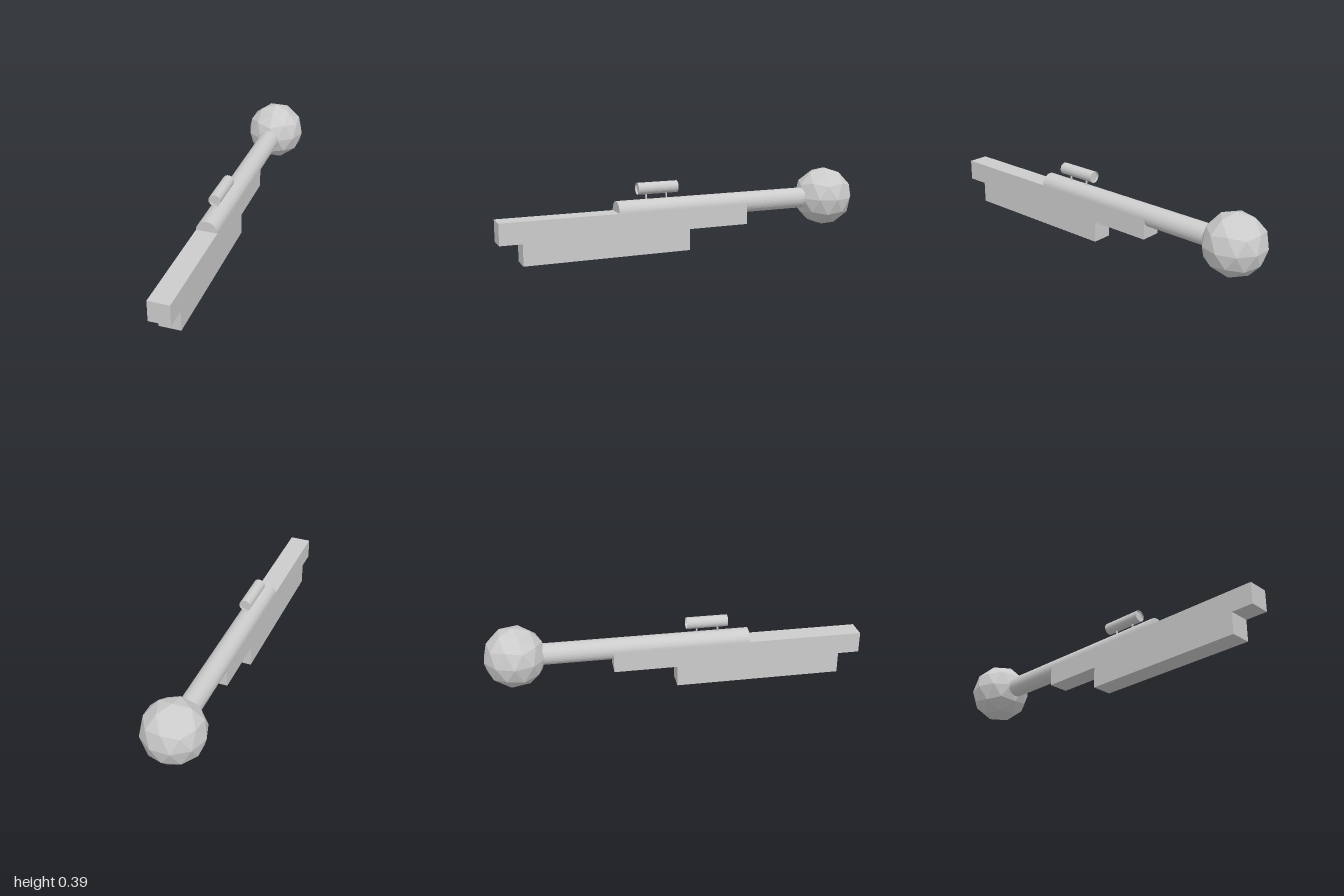
import * as THREE from 'three';

const material = new THREE.MeshStandardMaterial({ color: 0xcccccc, flatShading: true });

export function createModel() {
  const model = new THREE.Group();
  const add = (name, geometry, x, y, z) => {
    const mesh = new THREE.Mesh(geometry, material);
    mesh.name = name;
    mesh.position.set(x, y, z);
    model.add(mesh);
    return mesh;
  };

  // Stepped body: side profile (z, y) extruded across the width
  const width = 0.112;
  const profile = new THREE.Shape([
    [0.885, 0], [0.885, 0.113], [1, 0.113], [1, 0.225],
    [-0.34, 0.225], [-0.34, 0.113], [-0.005, 0.113], [-0.005, 0],
  ].map(([z, y]) => new THREE.Vector2(-z, y)));
  const body = new THREE.ExtrudeGeometry(profile, { depth: width, bevelEnabled: false });
  body.translate(0, 0, -width / 2).rotateY(Math.PI / 2);
  add('body', body, 0, 0, 0);

  // Barrel, half sunk into the body and running into the ball
  const front = 0.385, back = -0.74;
  const barrel = new THREE.CylinderGeometry(0.056, 0.056, front - back, 32).rotateX(Math.PI / 2);
  add('barrel', barrel, 0, 0.225, (front + back) / 2);

  // Faceted ball, turned so a corner points straight up
  const ball = new THREE.IcosahedronGeometry(0.162, 1);
  ball.rotateX(-Math.atan((1 + Math.sqrt(5)) / 2));
  add('ball', ball, 0, 0.225, -0.846);

  // Sight tube with a recessed disc at each end
  const half = 0.11, recess = 0.01;
  const tube = new THREE.LatheGeometry([
    [0, -half + recess], [0.028, -half + recess], [0.028, -half], [0.031, -half],
    [0.031, half], [0.028, half], [0.028, half - recess], [0, half - recess],
  ].map(([r, y]) => new THREE.Vector2(r, y)), 32).rotateX(Math.PI / 2);
  add('sightTube', tube, 0, 0.338, 0.16);

  // Posts holding the sight
  for (const z of [0.22, 0.108]) {
    add('sightPost', new THREE.CylinderGeometry(0.005, 0.005, 0.04, 16), 0, 0.292, z);
  }

  return model;
}
